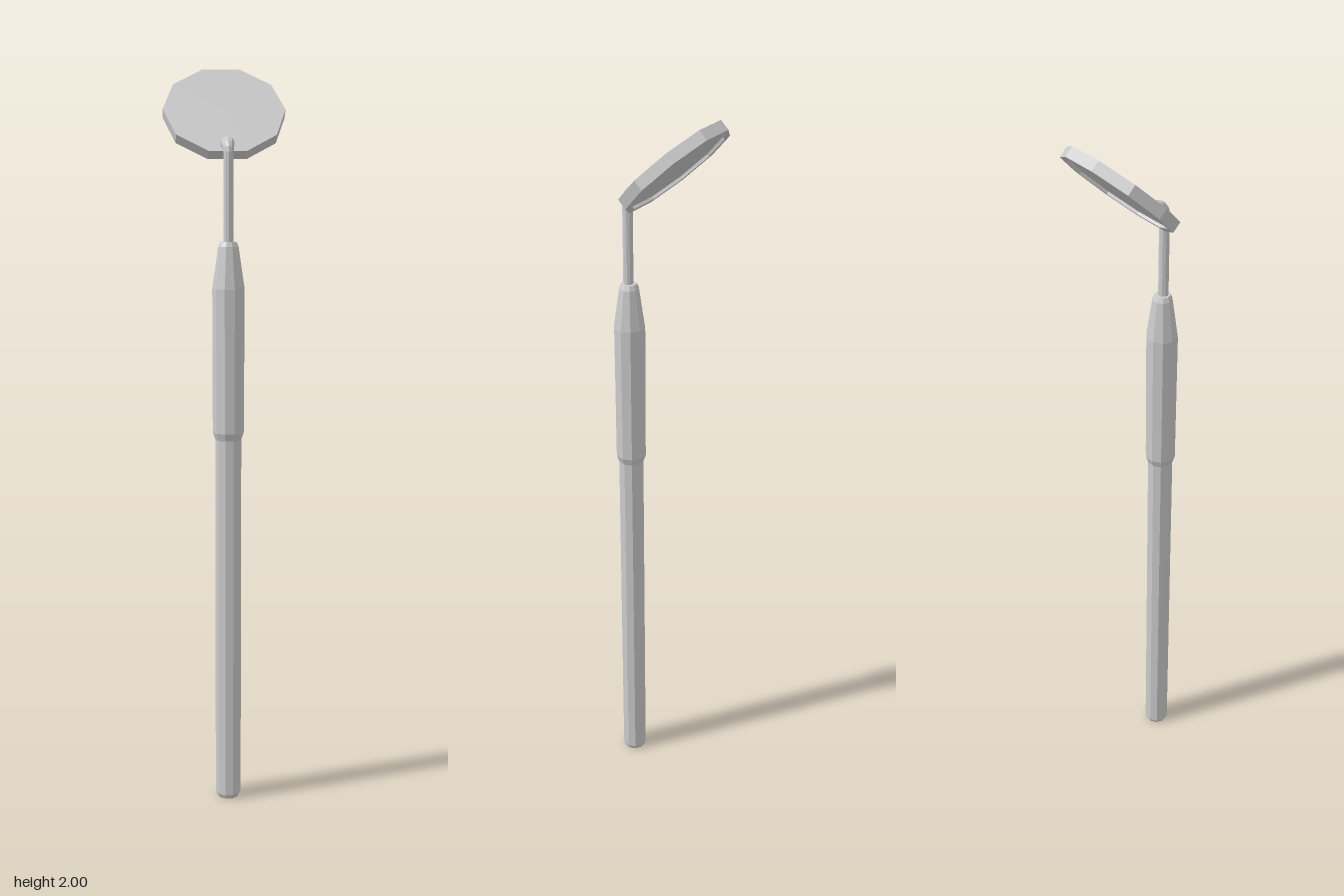
import * as THREE from 'three';

const SIDES = 10;
const HANDLE_Z = 0.108;

const material = new THREE.MeshStandardMaterial({ color: 0xcccccc, flatShading: true });

// Ten-sided turned part with corners on the x axis; profile runs bottom to top
function turned(name, profile) {
  const points = profile.map(([r, y]) => new THREE.Vector2(r, y));
  const mesh = new THREE.Mesh(new THREE.LatheGeometry(points, SIDES, Math.PI / 2), material);
  mesh.name = name;
  return mesh;
}

// Bent neck: a tube that widens towards its tip
function makeNeck() {
  const v = (y, z) => new THREE.Vector3(0, y, z);
  const path = new THREE.CurvePath();
  path.add(new THREE.LineCurve3(v(1.53, 0.11), v(1.77, 0.11)));
  path.add(new THREE.QuadraticBezierCurve3(v(1.77, 0.11), v(1.796, 0.108), v(1.797, 0.08)));
  path.add(new THREE.LineCurve3(v(1.797, 0.08), v(1.797, 0.053)));

  const rings = 32, sides = 10;
  const geometry = new THREE.TubeGeometry(path, rings, 0.0135, sides, false);
  const pos = geometry.attributes.position;
  const p = new THREE.Vector3();
  for (let i = 0; i <= rings; i++) {
    const t = i / rings;
    const centre = path.getPointAt(t);
    const swell = 1 + 0.45 * THREE.MathUtils.smoothstep(t, 0.76, 0.94);
    for (let j = 0; j <= sides; j++) {
      const k = i * (sides + 1) + j;
      p.fromBufferAttribute(pos, k).sub(centre).multiplyScalar(swell).add(centre);
      pos.setXYZ(k, p.x, p.y, p.z);
    }
  }
  const mesh = new THREE.Mesh(geometry, material);
  mesh.name = 'neck';
  return mesh;
}

export function createModel() {
  const model = new THREE.Group();
  model.name = 'dentalMirror';

  // Handle: slim shaft, thicker grip and tapered collar
  const handle = turned('handle', [
    [0, 0], [0.029, 0], [0.035, 0.012], [0.035, 1.015],
    [0.042, 1.035], [0.043, 1.42], [0.027, 1.53], [0.021, 1.543], [0, 1.543],
  ]);
  handle.position.z = HANDLE_Z;
  model.add(handle);

  model.add(makeNeck());

  // Tilted head: plain front face, shallow recess holding the mirror at the back
  const head = new THREE.Group();
  head.name = 'mirrorHead';
  head.add(turned('headRim', [
    [0.148, -0.022], [0.148, -0.03], [0.165, -0.03], [0.165, 0], [0, 0],
  ]));
  head.add(turned('mirror', [[0, -0.022], [0.148, -0.022]]));
  head.position.set(0, 1.889, -0.02);
  head.rotation.x = Math.PI / 4;
  model.add(head);

  return model;
}
